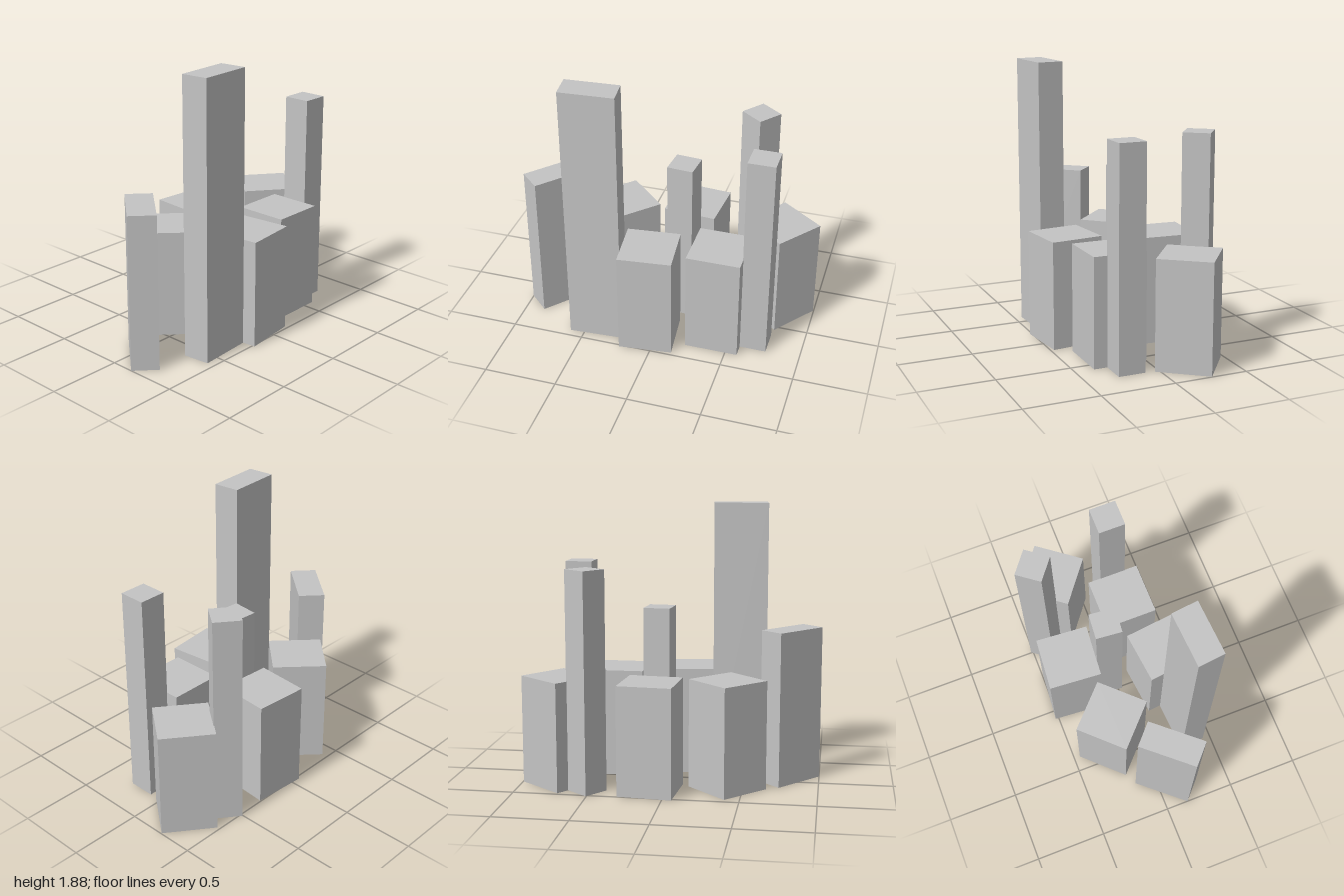
import * as THREE from 'three';

export function createModel() {
  const model = new THREE.Group();
  const grey = new THREE.MeshStandardMaterial({ color: 0xc4c4c4 });
  grey.name = 'light grey';

  // Upright block on the ground: centre [x, z], footprint edges u and v as [x, z], height
  function block(name, [cx, cz], [ux, uz], [vx, vz], height) {
    const geometry = new THREE.BoxGeometry(1, 1, 1);
    geometry.applyMatrix4(new THREE.Matrix4().set(
      ux, 0, vx, cx,
      0, height, 0, height / 2,
      uz, 0, vz, cz,
      0, 0, 0, 1
    ));
    const mesh = new THREE.Mesh(geometry, grey);
    mesh.name = name;
    model.add(mesh);
  }

  const low = 0.74;

  // Low square blocks
  block('backLeftBase', [0.739, -0.223], [0.291, 0.223], [-0.222, 0.29], low);
  block('backCentreBase', [0.107, -0.326], [0.366, 0.03], [-0.027, 0.364], low);
  block('backRightBase', [-0.394, -0.197], [0.265, 0.254], [-0.254, 0.266], low);
  block('frontCentreBase', [-0.056, 0.314], [0.364, -0.04], [0.04, 0.364], low);
  block('frontLeftBase', [0.399, 0.187], [0.368, 0], [0, 0.367], low);

  // Taller towers set against them
  block('backLeftTower', [0.523, -0.387], [0.147, 0.113], [-0.11, 0.145], 1.48);
  block('centreTower', [0.083, -0.055], [0.179, 0.015], [-0.016, 0.181], 1.2);
  block('frontLeftTower', [0.673, 0.187], [0.184, 0], [0, 0.184], 1.48);
  block('rightTower', [-0.802, 0.067], [0.264, -0.305], [0.134, 0.123], 1.05);
  block('tallestTower', [-0.425, 0.345], [0.37, -0.022], [0.021, 0.18], 1.88);

  return model;
}
